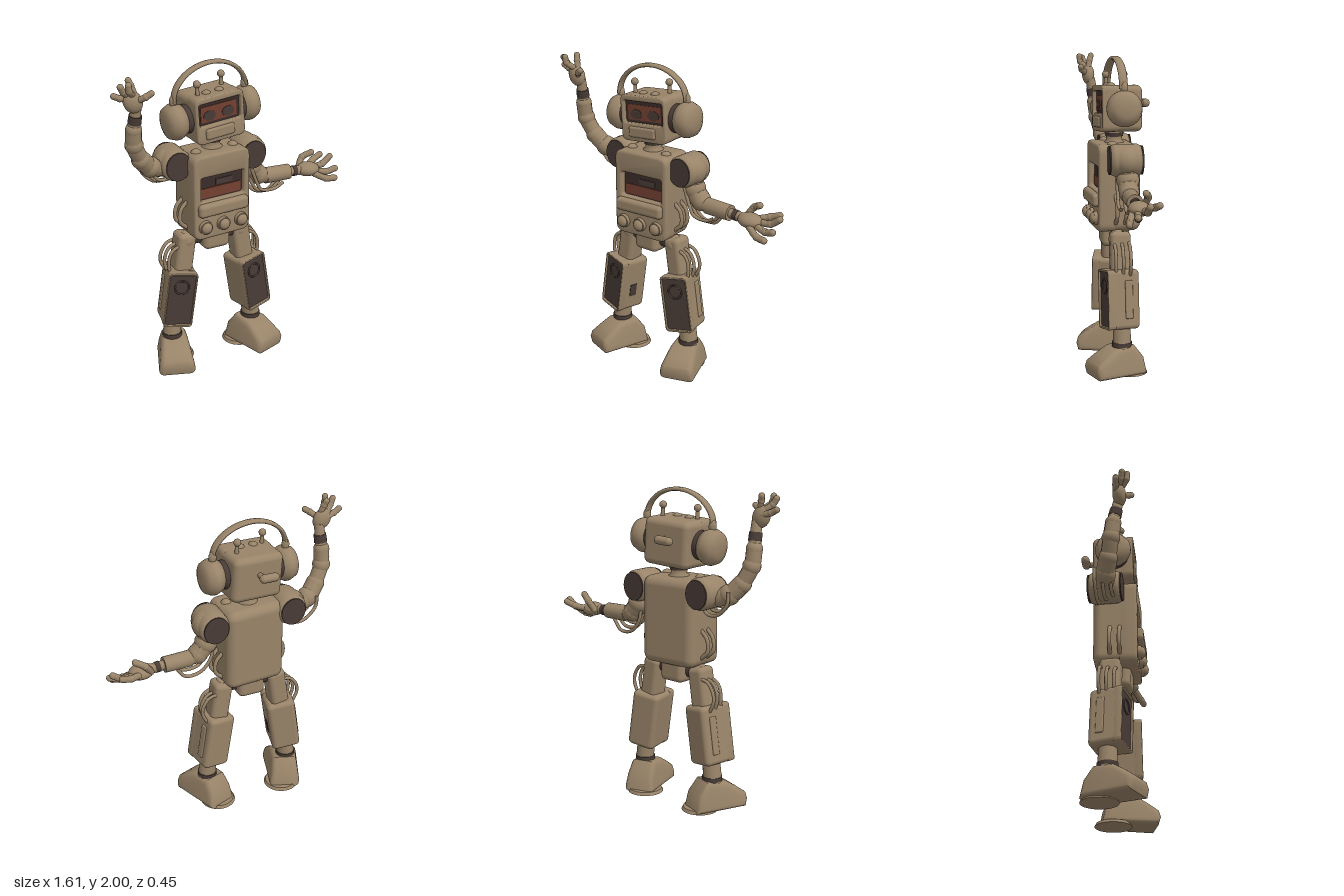
import * as THREE from 'three';
import { RoundedBoxGeometry } from 'three/addons/geometries/RoundedBoxGeometry.js';
import { toCreasedNormals } from 'three/addons/utils/BufferGeometryUtils.js';

const paint = (name, color) => Object.assign(new THREE.MeshStandardMaterial({ color }), { name });
const tan = paint('tan shell', 0x998469);
const dark = paint('dark panel', 0x483b36);
const black = paint('screen black', 0x3a2d2a);
const red = paint('screen rust', 0x733f30);
const V = (p) => new THREE.Vector3(...p);

function add(parent, name, geo, mat = tan, pos = [0, 0, 0], rot = [0, 0, 0]) {
  const m = new THREE.Mesh(geo, mat);
  m.name = name;
  m.position.set(...pos);
  m.rotation.set(...rot);
  parent.add(m);
  return m;
}
function group(parent, name, pos = [0, 0, 0], rot = [0, 0, 0]) {
  const g = new THREE.Group();
  g.name = name;
  g.position.set(...pos);
  g.rotation.set(rot[0], rot[1], rot[2], 'ZYX');
  parent.add(g);
  return g;
}
const rbox = (w, h, d, r = 0.03) => new RoundedBoxGeometry(w, h, d, 4, r);
const ball = (r) => new THREE.SphereGeometry(r, 20, 14);
const tube = (pts, r) => new THREE.TubeGeometry(new THREE.CatmullRomCurve3(pts.map(V)), 24, r, 10);

// Rounded rectangle, as a shape or a hole
function roundRect(P, x, y, w, h, r) {
  const s = new P(), a = x - w / 2, b = y - h / 2;
  s.moveTo(a + r, b);
  [[a + w, b], [a + w, b + h], [a, b + h], [a, b]].forEach(([cx, cy], i, c) => {
    const [nx, ny] = c[(i + 1) % 4], l = Math.hypot(nx - cx, ny - cy);
    const [px, py] = c[(i + 3) % 4], k = Math.hypot(px - cx, py - cy);
    s.lineTo(cx + (px - cx) * r / k, cy + (py - cy) * r / k);
    s.quadraticCurveTo(cx, cy, cx + (nx - cx) * r / l, cy + (ny - cy) * r / l);
  });
  return s;
}

// Rounded slab with a window, its front at z = depth
function frame(w, h, r, win, depth, b) {
  const s = roundRect(THREE.Shape, 0, 0, w, h, r);
  s.holes.push(roundRect(THREE.Path, win[0], win[1], win[2], win[3], 0.015));
  const g = new THREE.ExtrudeGeometry(s, {
    depth: depth - 2 * b, bevelSize: b, bevelThickness: b, bevelOffset: -b, bevelSegments: 3, curveSegments: 6,
  });
  return toCreasedNormals(g.translate(0, 0, b), 0.7);
}

// Box whose front has a recessed window
function windowBox(parent, name, w, h, d, r, win, recess, b) {
  const z = d / 2 - recess, back = 0.07;
  add(parent, name + 'Body', rbox(w, h, d - recess, r), tan, [0, 0, -recess / 2]);
  add(parent, name + 'Front', frame(w, h, r, win, recess + back, b), tan, [0, 0, z - back]);
  add(parent, name + 'Screen', new THREE.BoxGeometry(win[2] + 0.015, win[3] + 0.015, 0.008), black, [win[0], win[1], z + 0.003]);
  return z + 0.009;
}

// Jointed tube with rounded knuckles
function limb(parent, name, pts, r) {
  const g = group(parent, name);
  add(g, name + 'Tube', tube(pts, r));
  pts.forEach((p, i) => add(g, name + 'Joint', ball(r * (i === 0 || i === pts.length - 1 ? 1 : 1.12)), tan, p));
}

// Straight cylinder between two points
function rod(parent, name, a, b, r0, r1, mat = tan) {
  const A = V(a), B = V(b), d = B.clone().sub(A);
  const m = add(parent, name, new THREE.CylinderGeometry(r1, r0, d.length(), 20), mat, A.clone().add(B).multiplyScalar(0.5).toArray());
  m.quaternion.setFromUnitVectors(new THREE.Vector3(0, 1, 0), d.normalize());
}

function drum(parent, name, r, w, round) {
  const pts = [[0, -w / 2], [r - round, -w / 2], [r - round * 0.3, -w / 2 + round * 0.3], [r, -w / 2 + round],
    [r, w / 2 - round], [r - round * 0.3, w / 2 - round * 0.3], [r - round, w / 2], [0, w / 2]];
  return add(parent, name, toCreasedNormals(new THREE.LatheGeometry(pts.map((p) => new THREE.Vector2(...p)), 36), 0.8));
}

function buildHead(root) {
  const head = group(root, 'head', [-0.122, 1.67, -0.02], [0, 0.08, 0.06]);
  const z = windowBox(head, 'head', 0.335, 0.29, 0.26, 0.04, [0, 0.038, 0.29, 0.14], 0.035, 0.009);
  add(head, 'screenGlow', new THREE.BoxGeometry(0.25, 0.098, 0.006), red, [0, 0.033, z]);
  for (const s of [-1, 1]) {
    const eye = add(head, 'screenEye', new THREE.CylinderGeometry(0.042, 0.042, 0.006, 24), dark, [s * 0.065, 0.022, z + 0.003], [Math.PI / 2, 0, 0]);
    eye.scale.z = 0.75;
    // Headphone cup, cushion, connector and antenna
    const cup = drum(head, 'earCup', 0.112, 0.13, 0.055);
    cup.rotation.z = Math.PI / 2;
    cup.position.set(s * 0.252, 0, 0.01);
    add(head, 'earCushion', new THREE.CylinderGeometry(0.09, 0.09, 0.045, 28), dark, [s * 0.18, 0, 0.01], [0, 0, Math.PI / 2]);
    const joint = add(head, 'bandConnector', ball(0.024), tan, [s * 0.25, 0.125, 0.01]);
    joint.scale.y = 1.7;
    const az = s < 0 ? 0.05 : -0.02;
    add(head, 'antennaStem', new THREE.CylinderGeometry(0.01, 0.014, 0.08, 12), tan, [s * 0.105, 0.17, az]);
    add(head, 'antennaTip', ball(0.023), tan, [s * 0.105, 0.212, az]);
    add(head, 'topDome', ball(0.028), tan, [s * 0.045, 0.142, 0.05]).scale.y = 0.7;
  }
  const arc = Array.from({ length: 13 }, (_, i) => {
    const a = Math.PI * i / 12;
    return [-0.252 * Math.cos(a), 0.12 + 0.195 * Math.sin(a), 0];
  });
  add(head, 'headBand', tube(arc, 0.013), tan, [0, 0, 0.015]).scale.z = 2.1;
  add(head, 'mouthBar', rbox(0.2, 0.07, 0.04, 0.015), tan, [-0.01, -0.085, 0.122]);
  // Winding key on the back
  add(head, 'keyStem', new THREE.CylinderGeometry(0.015, 0.02, 0.07, 14), tan, [0, 0.03, -0.15], [Math.PI / 2, 0, 0]);
  add(head, 'keyHandle', new THREE.CapsuleGeometry(0.027, 0.075, 6, 14), tan, [-0.035, 0.03, -0.185], [0, 0, Math.PI / 2]);
}

function buildTorso(root) {
  const neck = [[0, 0], [0.085, 0], [0.07, 0.03], [0.05, 0.05], [0.052, 0.09], [0.075, 0.12], [0, 0.13]];
  add(root, 'neck', new THREE.LatheGeometry(neck.map((p) => new THREE.Vector2(...p)), 28), tan, [-0.12, 1.42, 0]);
  add(root, 'neckRing', new THREE.CylinderGeometry(0.062, 0.056, 0.025, 28), dark, [-0.12, 1.505, 0]);
  const torso = group(root, 'torso', [-0.125, 1.18, 0], [0, 0.07, 0]);
  const z = windowBox(torso, 'torso', 0.395, 0.55, 0.275, 0.055, [0.005, 0.055, 0.305, 0.155], 0.045, 0.016);
  add(torso, 'screenGlow', new THREE.BoxGeometry(0.285, 0.065, 0.006), red, [0.005, 0.018, z]);
  add(torso, 'screenShape', new THREE.BoxGeometry(0.12, 0.035, 0.006), dark, [0.03, 0.08, z]);
  add(torso, 'chestBar', rbox(0.35, 0.085, 0.07, 0.025), tan, [0, -0.075, 0.138]);
  for (const i of [-1, 0, 1]) {
    add(torso, 'knobBase', new THREE.CylinderGeometry(0.042, 0.045, 0.03, 24), tan, [i * 0.127, -0.19, 0.145], [Math.PI / 2, 0, 0]);
    add(torso, 'knob', ball(0.037), tan, [i * 0.127, -0.19, 0.157]).scale.z = 0.75;
  }
  for (const s of [-1, 1]) {
    add(torso, 'collarBump', ball(0.035), tan, [s * 0.13, 0.26, 0.04]);
    for (const dz of [0.03, -0.03])
      add(torso, 'sideCable', tube([[s * 0.19, -0.04, dz], [s * 0.235, -0.09, dz], [s * 0.24, -0.17, dz], [s * 0.19, -0.22, dz]], 0.013));
  }
  add(root, 'pelvis', rbox(0.18, 0.15, 0.18, 0.035), tan, [-0.125, 0.865, 0]);
}

function buildShoulder(root, s, x, y) {
  const g = group(root, 'shoulder', [x, y, -0.035]);
  drum(g, 'shoulderDrum', 0.1, 0.2, 0.03).rotation.x = Math.PI / 2;
  add(g, 'shoulderCap', ball(0.092), tan, [s * 0.025, 0, 0]);
  for (const k of [-1, 1]) {
    const disc = add(g, 'shoulderDisc', new THREE.CylinderGeometry(0.09, 0.09, 0.008, 32), dark, [0, 0, k * 0.101], [Math.PI / 2, 0, 0]);
    disc.scale.x = 0.9;
  }
}

function buildArms(root) {
  // Raised right arm
  const r = group(root, 'rightArm');
  buildShoulder(r, -1, -0.375, 1.385);
  limb(r, 'upperArm', [[-0.42, 1.36, -0.03], [-0.53, 1.39, -0.01], [-0.6, 1.46, 0.02]], 0.058);
  limb(r, 'forearm', [[-0.6, 1.46, 0.02], [-0.65, 1.57, 0.045], [-0.655, 1.67, 0.06]], 0.05);
  rod(r, 'wrist', [-0.655, 1.67, 0.06], [-0.645, 1.83, 0.09], 0.04, 0.03);
  rod(r, 'wristSleeve', [-0.652, 1.715, 0.068], [-0.648, 1.765, 0.078], 0.041, 0.039, dark);
  const rp = add(r, 'palm', ball(0.064), tan, [-0.67, 1.855, 0.1], [0, 0, 0.5]);
  rp.scale.set(0.9, 1.1, 0.65);
  [[[-0.69, 1.87, 0.08], [-0.745, 1.885, 0.09], [-0.783, 1.905, 0.095]],
    [[-0.69, 1.89, 0.09], [-0.735, 1.93, 0.12], [-0.755, 1.965, 0.13]],
    [[-0.675, 1.9, 0.11], [-0.71, 1.94, 0.15], [-0.715, 1.975, 0.155]],
    [[-0.66, 1.9, 0.1], [-0.675, 1.95, 0.09], [-0.685, 1.98, 0.08]],
    [[-0.65, 1.86, 0.11], [-0.61, 1.89, 0.15], [-0.58, 1.91, 0.16]]].forEach((p) => limb(r, 'finger', p, 0.019));
  // Lowered left arm
  const l = group(root, 'leftArm');
  buildShoulder(l, 1, 0.14, 1.37);
  limb(l, 'upperArm', [[0.165, 1.33, -0.04], [0.175, 1.25, -0.045], [0.23, 1.18, -0.045]], 0.064);
  rod(l, 'elbow', [0.21, 1.18, -0.045], [0.32, 1.155, -0.045], 0.055, 0.045);
  rod(l, 'forearm', [0.28, 1.16, -0.045], [0.455, 1.155, -0.045], 0.052, 0.05);
  rod(l, 'wrist', [0.45, 1.155, -0.045], [0.57, 1.145, -0.045], 0.03, 0.032);
  rod(l, 'wristSleeve', [0.48, 1.153, -0.045], [0.51, 1.15, -0.045], 0.034, 0.034, dark);
  const lp = add(l, 'palm', ball(0.07), tan, [0.6, 1.145, -0.045], [0, 0, -0.05]);
  lp.scale.set(1.15, 0.65, 0.95);
  [[[0.63, 1.15, -0.09], [0.69, 1.165, -0.125], [0.75, 1.185, -0.14]],
    [[0.65, 1.14, -0.065], [0.73, 1.145, -0.075], [0.79, 1.185, -0.08]],
    [[0.65, 1.13, -0.03], [0.73, 1.11, -0.02], [0.79, 1.125, -0.01]],
    [[0.63, 1.12, 0], [0.7, 1.085, 0.025], [0.76, 1.08, 0.035]],
    [[0.55, 1.15, -0.08], [0.59, 1.21, -0.1], [0.645, 1.24, -0.08]]].forEach((p) => limb(l, 'finger', p, 0.021));
  // Hanging cables
  for (const k of [0, 1, 2]) {
    const z = -0.07 + k * 0.045, d = k * 0.02;
    add(r, 'armCable', tube([[-0.57, 1.42, z], [-0.56 + d, 1.34, z], [-0.48, 1.265 + d, z], [-0.4, 1.27 + d, z], [-0.38, 1.33, z]], 0.011));
    add(l, 'armCable', tube([[0.14, 1.28, z], [0.15 + d, 1.15, z], [0.22, 1.06 + d, z], [0.32, 1.05 + d, z], [0.38, 1.12, z]], 0.011));
  }
}

// Side profile swept across the width, narrowing upwards
function footGeometry() {
  const s = new THREE.Shape([[-0.15, 0.01], [0.19, 0.01], [0.205, 0.06], [0.195, 0.1], [0.14, 0.14], [0.06, 0.19], [-0.07, 0.2], [-0.13, 0.12]]
    .map((p) => new THREE.Vector2(...p)));
  const b = 0.035;
  const g = new THREE.ExtrudeGeometry(s, { depth: 0.23 - 2 * b, bevelSize: b, bevelThickness: b, bevelOffset: -b, bevelSegments: 4 });
  g.translate(0, 0, b - 0.115).rotateY(-Math.PI / 2);
  const p = g.attributes.position;
  for (let i = 0; i < p.count; i++) p.setX(i, p.getX(i) * (1.05 - 1.5 * p.getY(i)) * (0.95 + p.getZ(i) * 0.5));
  g.computeVertexNormals();
  return toCreasedNormals(g, 0.7);
}

function buildLeg(root, s) {
  const leg = group(root, s > 0 ? 'leftLeg' : 'rightLeg', [-0.125, 0, 0]);
  rod(leg, 'hipAxle', [s * 0.08, 0.865, 0], [s * 0.16, 0.865, 0], 0.045, 0.045, dark);
  add(leg, 'hip', ball(0.06), tan, [s * 0.18, 0.86, 0]);
  add(leg, 'thigh', rbox(0.12, 0.3, 0.13), tan, [s * 0.203, 0.76, -0.01], [0, 0, s * 0.15]);
  const shin = group(leg, 'shin', [s * 0.25, 0.49, 0], [0, s * 0.21, s * 0.15]);
  add(shin, 'shinBox', rbox(0.188, 0.375, 0.195, 0.03), tan, [0, 0, -0.008]);
  add(shin, 'shinFrame', frame(0.188, 0.375, 0.025, [0, 0, 0.168, 0.345], 0.05, 0.004), tan, [0, 0, 0.058]);
  add(shin, 'shinPanel', new THREE.BoxGeometry(0.172, 0.349, 0.009), dark, [0, 0, 0.09]);
  add(shin, 'speakerRing', new THREE.TorusGeometry(0.045, 0.006, 8, 28), dark, [0, 0.085, 0.096]);
  add(shin, 'sideRib', rbox(0.05, 0.24, 0.02, 0.008), tan, [s * 0.092, 0, -0.03], [0, Math.PI / 2, 0]);
  if (s < 0) add(shin, 'innerPatch', new THREE.BoxGeometry(0.008, 0.085, 0.05), dark, [0.0935, -0.04, 0]);
  add(leg, 'ankle', new THREE.CylinderGeometry(0.055, 0.06, 0.16, 20), tan, [s * 0.285, 0.25, -0.01], [0, 0, s * 0.1]);
  add(leg, 'ankleRing', new THREE.CylinderGeometry(0.063, 0.063, 0.03, 24), dark, [s * 0.287, 0.205, -0.01]);
  const foot = group(leg, 'foot', [s * 0.278, 0, 0], [0, s * 0.33, 0]);
  add(foot, 'shoe', footGeometry());
  add(foot, 'heelPlate', new THREE.CylinderGeometry(0.105, 0.115, 0.02, 32), tan, [-s * 0.02, 0.012, -0.075]);
  for (const k of [0, 1, 2]) {
    const z = -0.06 + k * 0.045, w = 0.01 * k;
    add(leg, 'legCable', tube([[s * 0.2, 0.85, z], [s * 0.29, 0.83 - w, z], [s * (0.335 - w), 0.74, z], [s * 0.3, 0.65, z], [s * 0.24, 0.6, z]], 0.011));
  }
}

export function createModel() {
  const robot = new THREE.Group();
  robot.name = 'robot';
  buildHead(robot);
  buildTorso(robot);
  buildArms(robot);
  for (const s of [-1, 1]) buildLeg(robot, s);
  return robot;
}
